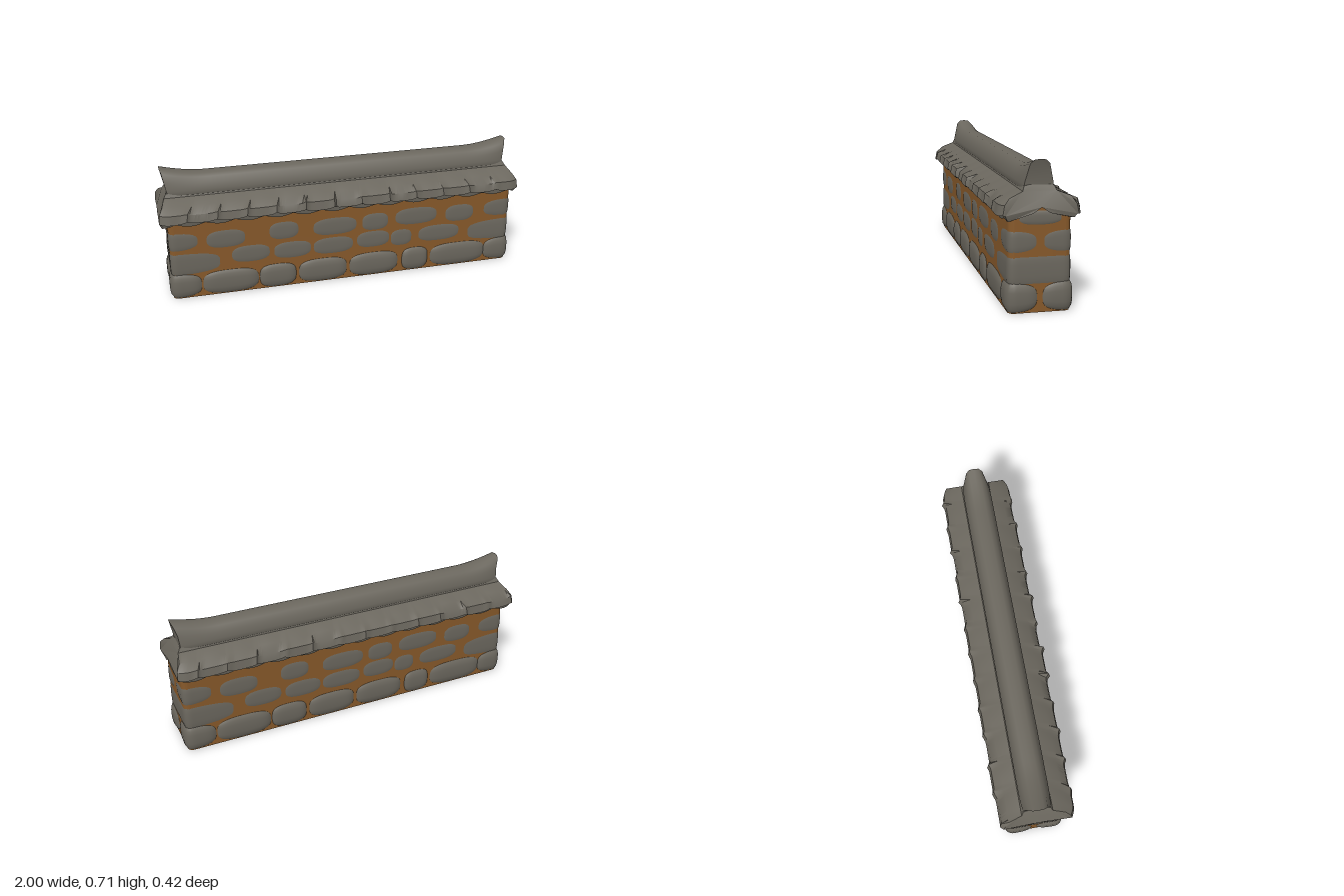
import * as THREE from 'three';
import { toCreasedNormals } from 'three/addons/utils/BufferGeometryUtils.js';

const HX = 0.968, HZ = 0.147, R = 0.03;     // wall footprint half sizes and corner radius
const HALF_TURN = 2 * HX + 2 * HZ;          // half of the way round the wall

function build(positions, index, crease) {
  const g = new THREE.BufferGeometry();
  g.setAttribute('position', new THREE.Float32BufferAttribute(positions, 3));
  g.setIndex(index);
  if (crease) return toCreasedNormals(g, crease);
  g.computeVertexNormals();
  return g;
}

// Point and outward direction at distance u round the rounded footprint (u = x on the front)
function around(u) {
  const total = 2 * HALF_TURN;
  let t = (((u + HX) % total) + total) % total, sign = 1;
  if (t >= HALF_TURN) { t -= HALF_TURN; sign = -1; }
  const x = sign * (t < 2 * HX ? t - HX : HX);
  const z = sign * (t < 2 * HX ? HZ : HZ - (t - 2 * HX));
  const ix = THREE.MathUtils.clamp(x, R - HX, HX - R);
  const iz = THREE.MathUtils.clamp(z, R - HZ, HZ - R);
  const len = Math.hypot(x - ix, z - iz);
  const nx = (x - ix) / len, nz = (z - iz) / len;
  return { x: ix + nx * R, z: iz + nz * R, nx, nz };
}

// Domed oval stone that bends round the wall corners
function stoneGeometry(u0, u1, y0, y1, bulge, power) {
  const cols = Math.max(16, Math.ceil((u1 - u0) / 0.012)), rows = 8;
  const pos = [], idx = [];
  for (let i = 0; i <= cols; i++) {
    const k = i / cols * 2 - 1;
    const s = 0.5 * k + 0.5 * Math.sin(k * Math.PI / 2);
    const h = Math.pow(Math.max(0, 1 - Math.pow(Math.abs(s), power)), 1 / power);
    const p = around((u0 + u1) / 2 + s * (u1 - u0) / 2);
    for (let j = 0; j <= rows; j++) {
      const t = Math.sin((j / rows * 2 - 1) * Math.PI / 2);
      const off = -0.002 + (bulge + 0.002) * (1 - s ** 6) * (1 - t ** 4);
      pos.push(p.x + p.nx * off, (y0 + y1) / 2 + t * h * (y1 - y0) / 2, p.z + p.nz * off);
      if (i < cols && j < rows) {
        const a = i * (rows + 1) + j, b = a + rows + 1;
        idx.push(a, b, b + 1, a, b + 1, a + 1);
      }
    }
  }
  return build(pos, idx);
}

// Solid through mirrored cross-sections; half(x) lists [x, y, z] from the top to the bottom
function loft(xs, half, crease) {
  const pos = [], idx = [];
  let n = 0, first, last;
  xs.forEach((x, i) => {
    const left = half(x, 1), right = half(x, -1).map(([a, y, z]) => [a, y, -z]);
    const ring = [...left, ...right.slice(1, -1).reverse()];
    n = ring.length;
    ring.forEach(p => pos.push(...p));
    if (i === 0) first = ring;
    last = ring;
    if (i === xs.length - 1) return;
    for (let j = 0; j < n; j++) {
      const a = i * n + j, b = i * n + (j + 1) % n;
      idx.push(a, b, a + n, b, b + n, a + n);
    }
  });
  const cap = ring => THREE.ShapeUtils.triangulateShape(
    ring.map(([, y, z]) => new THREE.Vector2(-z, y)), []);
  const o = (xs.length - 1) * n;
  cap(first).forEach(([a, b, c]) => idx.push(a, c, b));
  cap(last).forEach(([a, b, c]) => idx.push(o + a, o + b, o + c));
  return build(pos, idx, crease);
}

export function createModel() {
  const stone = new THREE.MeshStandardMaterial({ color: 0x6b675e });
  stone.name = 'stone grey';
  const mortar = new THREE.MeshStandardMaterial({ color: 0x87592a });
  mortar.name = 'earth brown';
  const model = new THREE.Group();
  model.name = 'gardenWall';
  const add = (parent, name, geometry, material) => {
    const m = new THREE.Mesh(geometry, material);
    m.name = name;
    parent.add(m);
    return m;
  };

  // Wall core with rounded corners
  const wall = new THREE.Group();
  wall.name = 'wall';
  wall.position.x = 0.01;
  model.add(wall);
  const plan = new THREE.Shape();
  plan.absarc(HX - R, HZ - R, R, 0, Math.PI / 2);
  plan.absarc(R - HX, HZ - R, R, Math.PI / 2, Math.PI);
  plan.absarc(R - HX, R - HZ, R, Math.PI, Math.PI * 1.5);
  plan.absarc(HX - R, R - HZ, R, Math.PI * 1.5, Math.PI * 2);
  const core = new THREE.ExtrudeGeometry(plan, { depth: 0.452, bevelEnabled: false, curveSegments: 8 });
  core.rotateX(-Math.PI / 2);
  add(wall, 'wallCore', toCreasedNormals(core, 0.6), mortar);

  // Low peak of the core under the roof
  add(wall, 'wallPeak', loft([-HX + 0.003, HX - 0.003],
    x => [[x, 0.493, 0], [x, 0.445, 0.09], [x, 0.44, 0]], 0.5), mortar);

  // Stone courses: spans along the front, then round the right end; repeated by a half turn
  const courses = [
    { y: [0.002, 0.143], bulge: 0.015, power: 3, spans: [
      [-1.105, -0.81], [-0.81, -0.5], [-0.5, -0.29], [-0.28, 0], [0.01, 0.3],
      [0.32, 0.48], [0.49, 0.83], [0.82, 1.105]] },
    { y: [0.165, 0.272], bulge: 0.004, power: 2.6, spans: [
      [-0.65, -0.43], [-0.42, -0.2], [-0.2, 0.04], [0.05, 0.25], [0.25, 0.38], [0.41, 0.67]] },
    { y: [0.13, 0.27], bulge: 0.004, power: 3.5, spans: [[0.69, 1.55]] },
    { y: [0.277, 0.388], bulge: 0.004, power: 2.6, spans: [
      [-1.107, -0.81], [-0.78, -0.56], [-0.44, -0.27], [-0.2, 0.06], [0.08, 0.24],
      [0.27, 0.53], [0.57, 0.75], [0.8, 1.107]] },
    { y: [0.408, 0.475], bulge: 0.004, power: 2.4, spans: [[1.01, 1.22]] },
  ];
  courses.forEach(({ y, bulge, power, spans }, row) => {
    for (const turn of [0, HALF_TURN]) {
      spans.forEach(([a, b], i) => {
        const lift = row === 1 || row === 3 ? 0.006 * Math.sin(i * 2.3 + row) : 0;
        add(wall, 'wallStone',
          stoneGeometry(a + turn, b + turn, y[0] + lift, y[1] + lift, bulge, power), stone);
      });
    }
  });

  // Roof slopes with scalloped tiles and a second scalloped edge beneath
  const TILE = 0.157;
  const roofX = [];
  for (let i = 0; i <= 128; i++) roofX.push(-1 + i / 64);
  add(model, 'tiledRoof', loft(roofX, (x, side) => {
    const f = (x + 1 + side * 0.02) / TILE, ph = f - Math.floor(f);
    const hump = Math.sin(ph * Math.PI);
    const spike = Math.pow(1 - hump, 4);
    const under = Math.abs(Math.sin((f + 0.4) * Math.PI));
    const vary = 0.004 * Math.sin(Math.floor(f) * 2.7 + side);
    const end = Math.max(0, (Math.abs(x) - 0.94) / 0.06) ** 2;
    const out = 0.014 * spike + vary - 0.022 * end;
    const profile = [
      [0, 0.60], [0.07, 0.585], [0.08, 0.563],
      [0.145, 0.533 + 0.006 * hump],
      [0.187 + out, 0.503 + 0.012 * spike + vary],
      [0.196 + out, 0.462 + 0.014 * spike - 0.004 * hump],
      [0.168, 0.46],
      [0.163 - 0.008 * end, 0.444 - 0.016 * under],
      [0.145, 0.444 - 0.014 * under],
      [0.04, 0.467], [0, 0.495],
    ];
    // Ends lean inward above and below the eave
    return profile.map(([z, y]) =>
      [x * (1 - 0.6 * Math.max(0, y - 0.5) - 0.4 * Math.max(0, 0.46 - y)), y, z]);
  }, 0.6), stone);

  // Ridge cap that sweeps up at both ends
  const ridgeX = [];
  for (let i = 0; i <= 64; i++) ridgeX.push(0.945 * Math.sin((i / 32 - 1) * Math.PI / 2));
  add(model, 'ridgeCap', loft(ridgeX, x => {
    const tip = Math.max(0, (Math.abs(x) - 0.72) / 0.225);
    const rise = 0.04 * tip ** 2.2;
    const narrow = 1 - 0.12 * tip ** 6;
    const profile = [
      [0, 0.669], [0.03, 0.667], [0.052, 0.655], [0.066, 0.625],
      [0.078, 0.594], [0.077, 0.572], [0.068, 0.545], [0, 0.545],
    ];
    return profile.map(([z, y]) => {
      const k = Math.max(0, (y - 0.594) / 0.075);
      return [x + Math.sign(x) * 0.028 * k * k * tip ** 3, y + rise * k, z * narrow];
    });
  }, 0.7), stone);

  return model;
}
